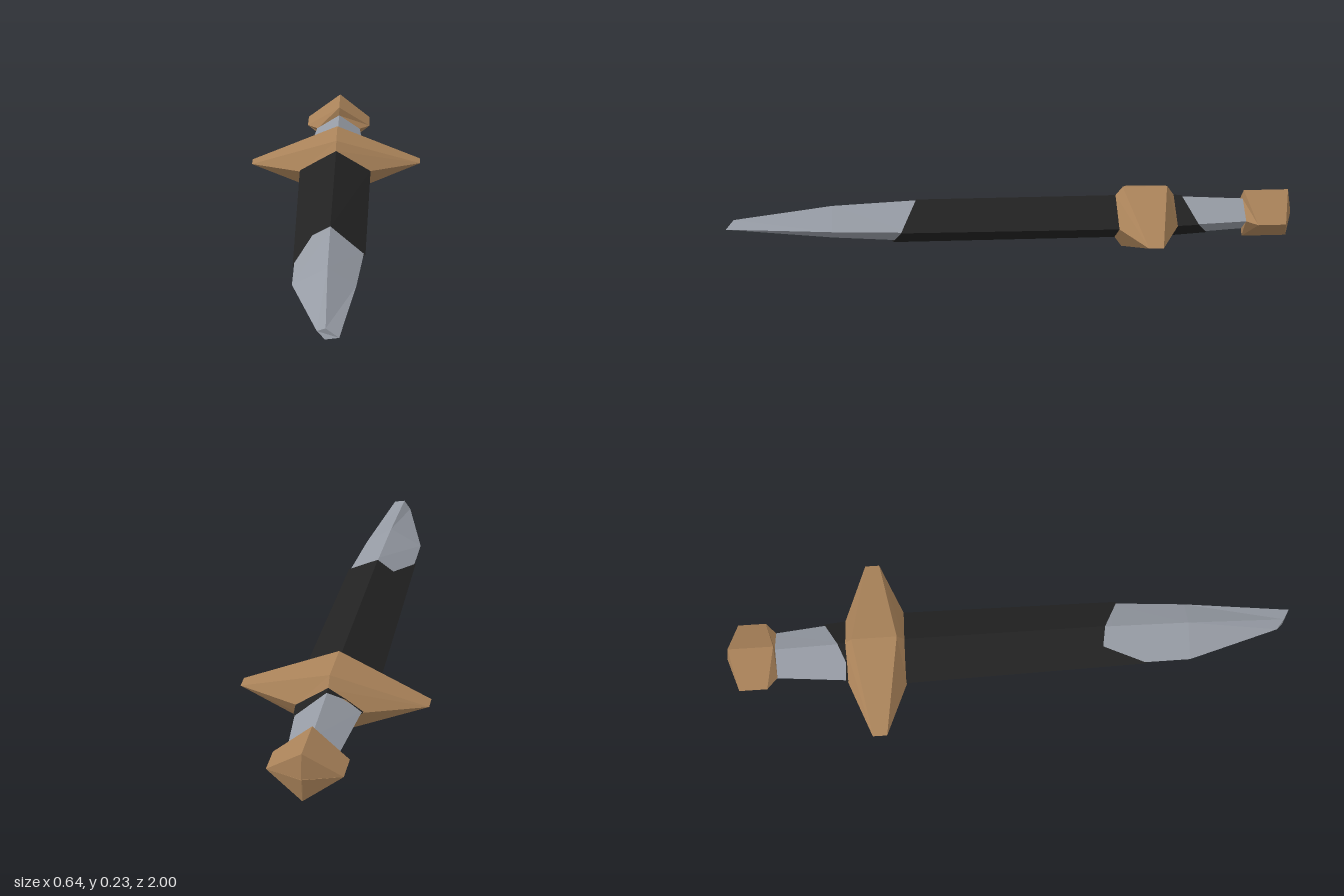
import * as THREE from 'three';

const steel = new THREE.MeshStandardMaterial({ color: 0x969ba4 });
const wrap = new THREE.MeshStandardMaterial({ color: 0x222222 });
const bronze = new THREE.MeshStandardMaterial({ color: 0xa98259 });
steel.name = 'steel';
wrap.name = 'black wrap';
bronze.name = 'bronze';
for (const m of [steel, wrap, bronze]) m.flatShading = true;
wrap.side = THREE.DoubleSide;

// Skins rings of points, listed front to back, each counterclockwise seen from +z
function loft(name, material, rings, capped = true) {
  const n = rings[0].length;
  const index = [];
  for (let r = 0; r < rings.length - 1; r++) {
    for (let i = 0; i < n; i++) {
      const a = r * n + i, b = r * n + (i + 1) % n;
      index.push(a, a + n, b, b, a + n, b + n);
    }
  }
  if (capped) {
    const last = (rings.length - 1) * n;
    for (let i = 1; i < n - 1; i++) index.push(0, i, i + 1, last, last + i + 1, last + i);
  }
  let geo = new THREE.BufferGeometry();
  geo.setAttribute('position', new THREE.Float32BufferAttribute(rings.flat(2), 3));
  geo.setIndex(index);
  geo = geo.toNonIndexed();
  geo.computeVertexNormals();
  const mesh = new THREE.Mesh(geo, material);
  mesh.name = name;
  return mesh;
}

// Diamond ring: side corners and top/bottom corners may sit at different z
function diamond(right, left, top, bottom, zSide, zRidge = zSide, yRight = 0.118, yLeft = yRight) {
  return [[right, yRight, zSide], [0.003, top, zRidge], [left, yLeft, zSide], [0.003, bottom, zRidge]];
}

export function createModel() {
  const group = new THREE.Group();
  group.name = 'dagger';

  // Steel blade with a skewed tip, running back into the grip
  group.add(loft('bladeAndGrip', steel, [
    [[0.05, 0.118, 1], [0.008, 0.137, 0.975], [-0.02, 0.115, 0.95], [0.006, 0.099, 0.975]],
    diamond(0.096, -0.112, 0.18, 0.06, 0.63),
    diamond(0.118, -0.113, 0.193, 0.041, 0.36),
    diamond(0.127, -0.128, 0.193, 0.041, -0.38),
    diamond(0.108, -0.109, 0.188, 0.044, -0.58),
    diamond(0.083, -0.083, 0.173, 0.06, -0.84),
  ]));

  // Black wrap just outside the steel, with uneven ends
  group.add(loft('bladeWrap', wrap, [
    [[0.122, 0.118, 0.39], [0.003, 0.197, 0.335], [-0.058, 0.159, 0.325], [-0.117, 0.118, 0.48], [0.003, 0.037, 0.42]],
    [[0.132, 0.118, -0.38], [0.003, 0.197, -0.38], [-0.065, 0.157, -0.38], [-0.133, 0.116, -0.38], [0.003, 0.037, -0.38]],
    [[0.113, 0.118, -0.575], [0.003, 0.194, -0.575], [-0.055, 0.157, -0.575], [-0.113, 0.116, -0.575], [0.003, 0.039, -0.575]],
    [[0.106, 0.118, -0.655], [0.003, 0.192, -0.605], [-0.055, 0.157, -0.58], [-0.112, 0.116, -0.585], [0.003, 0.047, -0.7]],
  ], false));

  // Long diamond crossguard with pointed arms
  group.add(loft('crossguard', bronze, [
    diamond(0.13, -0.13, 0.197, 0.037, -0.37, -0.37, 0.118, 0.113),
    diamond(0.318, -0.318, 0.228, 0.002, -0.45, -0.395, 0.121, 0.11),
    diamond(0.318, -0.318, 0.228, 0.002, -0.5, -0.553, 0.121, 0.11),
    diamond(0.11, -0.11, 0.19, 0.043, -0.58, -0.58, 0.118, 0.113),
  ]));

  // Faceted pommel ending in a shallow point
  group.add(loft('pommel', bronze, [
    diamond(0.083, -0.083, 0.173, 0.06, -0.825),
    diamond(0.123, -0.123, 0.205, 0.03, -0.862, -0.828),
    diamond(0.123, -0.123, 0.205, 0.03, -0.96, -0.987),
    diamond(0.001, -0.001, 0.119, 0.117, -1),
  ]));

  return group;
}
